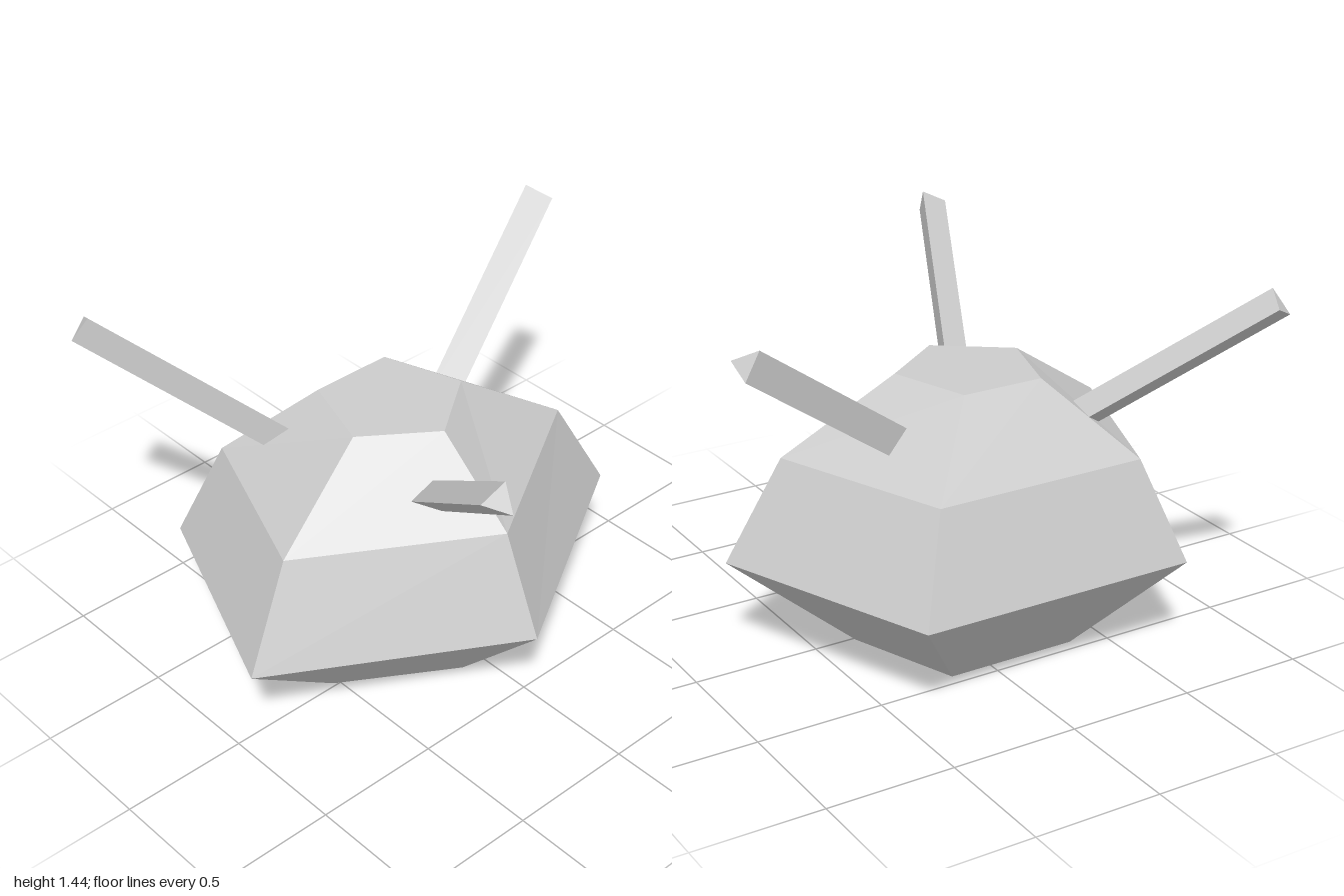
import * as THREE from 'three';

// Closed faceted solid through rings of points (bottom to top, counter-clockwise from the top end)
function loft(rings) {
  const pos = [];
  const tri = (...pts) => pts.forEach((p) => pos.push(p.x, p.y, p.z));
  const n = rings[0].length;
  for (let r = 0; r < rings.length - 1; r++) {
    const lo = rings[r], up = rings[r + 1];
    for (let i = 0; i < n; i++) {
      const j = (i + 1) % n;
      tri(lo[i], lo[j], up[j]);
      tri(lo[i], up[j], up[i]);
    }
  }
  const bottom = rings[0], top = rings[rings.length - 1];
  for (let i = 1; i < n - 1; i++) {
    tri(bottom[0], bottom[i + 1], bottom[i]);
    tri(top[0], top[i], top[i + 1]);
  }
  const geo = new THREE.BufferGeometry();
  geo.setAttribute('position', new THREE.Float32BufferAttribute(pos, 3));
  geo.computeVertexNormals();
  return geo;
}

export function createModel() {
  const group = new THREE.Group();
  const grey = new THREE.MeshStandardMaterial({ color: 0xcccccc, flatShading: true });
  grey.name = 'light grey';
  const add = (name, geo) => {
    const mesh = new THREE.Mesh(geo, grey);
    mesh.name = name;
    group.add(mesh);
  };

  // Five-sided body: [height, x radius, z radius]
  const cx = -0.095, cz = -0.134;
  const profile = [[0, 0.45, 0.392], [0.395, 0.952, 0.785], [0.79, 0.728, 0.617], [1.07, 0.281, 0.284]];
  add('body', loft(profile.map(([y, rx, rz]) =>
    Array.from({ length: 5 }, (_, i) => {
      const a = (i * Math.PI * 2) / 5;
      return new THREE.Vector3(cx + rx * Math.sin(a), y, cz + rz * Math.cos(a));
    }))));

  // Three-sided spikes pointing out from the body's centre, given by their tip corners
  const centre = new THREE.Vector3(cx, 0.618, cz);
  const tips = {
    frontSpike: [[-0.6, 1.39, 0.86], [-0.52, 1.345, 0.93], [-0.5, 1.44, 0.87]],
    leftSpike: [[0.935, 1.44, -0.485], [1, 1.39, -0.4], [1, 1.345, -0.505]],
    backSpike: [[-0.915, 1.44, -0.845], [-0.875, 1.39, -0.935], [-0.965, 1.345, -0.89]],
  };
  for (const [name, corners] of Object.entries(tips)) {
    const tip = corners.map((c) => new THREE.Vector3(...c));
    const mid = new THREE.Vector3().add(tip[0]).add(tip[1]).add(tip[2]).divideScalar(3);
    const inward = centre.clone().sub(mid).setLength(1.0);
    add(name, loft([tip.map((p) => p.clone().add(inward)), tip]));
  }
  return group;
}
